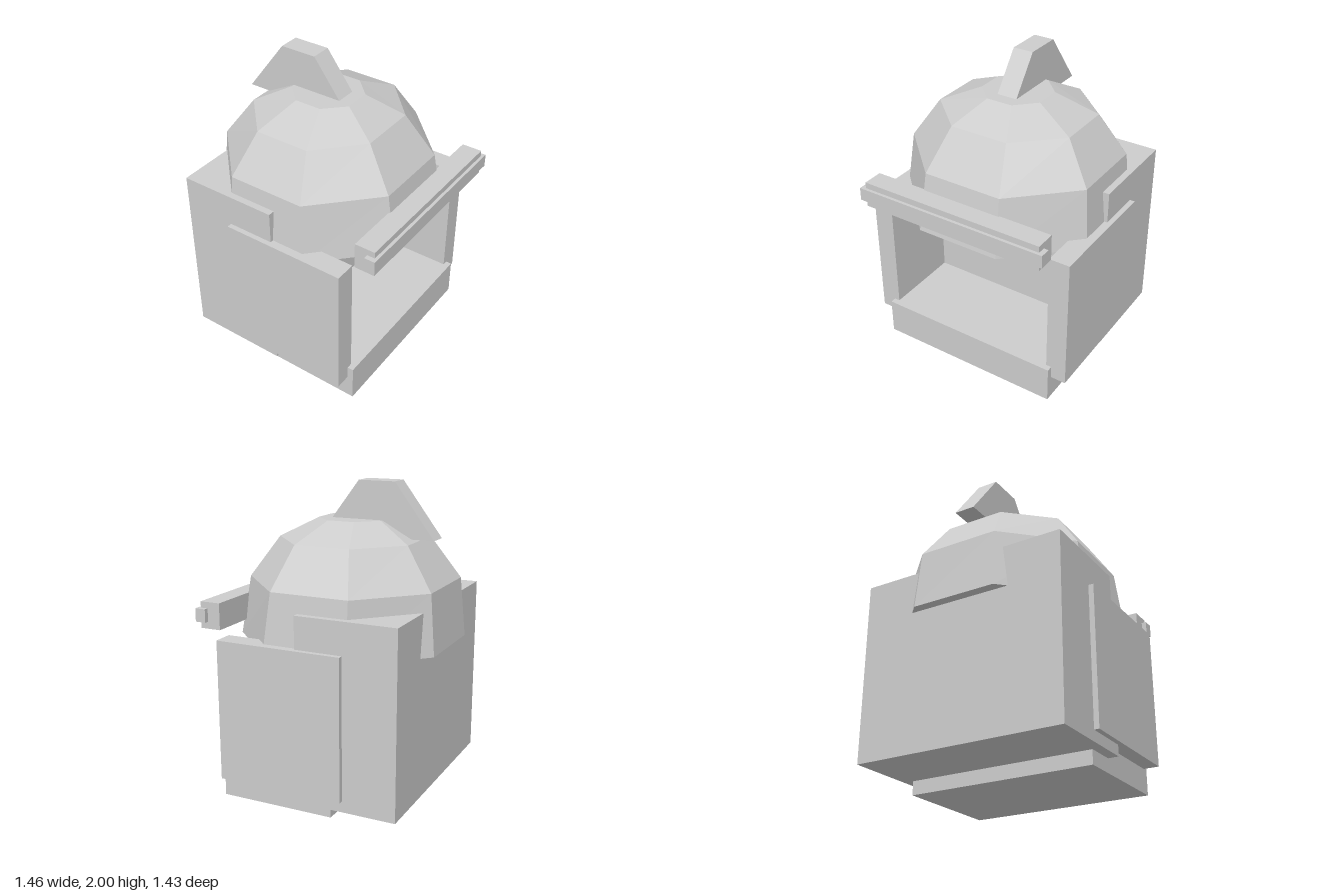
import * as THREE from 'three';

const grey = new THREE.MeshStandardMaterial({ color: 0xcccccc });
grey.name = 'plain grey';

function addMesh(group, name, geometry) {
  const mesh = new THREE.Mesh(geometry, grey);
  mesh.name = name;
  group.add(mesh);
  return mesh;
}

// Box given by its lower and upper bounds on each axis
function addBox(group, name, [x0, x1], [y0, y1], [z0, z1]) {
  const mesh = addMesh(group, name, new THREE.BoxGeometry(x1 - x0, y1 - y0, z1 - z0));
  mesh.position.set((x0 + x1) / 2, (y0 + y1) / 2, (z0 + z1) / 2);
}

// Eight-sided faceted dome lofted through stacked rings, capped at both ends
function domeGeometry() {
  // height, half width, half depth, centre z
  const rings = [
    [1.0, 0.68, 0.667, -0.05],
    [1.38, 0.64, 0.617, -0.067],
    [1.64, 0.47, 0.435, -0.067],
    [1.76, 0.21, 0.212, -0.067],
  ];
  const sides = 8;
  const positions = [];
  const point = ([y, w, d, cz], i) => {
    const a = ((i + 0.5) / sides) * Math.PI * 2;
    const k = 1 / Math.cos(Math.PI / sides);
    return [Math.sin(a) * w * k, y, cz + Math.cos(a) * d * k];
  };
  const triangle = (...corners) => corners.forEach((c) => positions.push(...c));
  const bottom = rings[0];
  const top = rings[rings.length - 1];
  for (let i = 0; i < sides; i++) {
    for (let r = 0; r < rings.length - 1; r++) {
      const a = point(rings[r], i), b = point(rings[r], i + 1);
      const c = point(rings[r + 1], i + 1), d = point(rings[r + 1], i);
      triangle(a, b, c);
      triangle(a, c, d);
    }
    triangle([0, top[0], top[3]], point(top, i), point(top, i + 1));
    triangle([0, bottom[0], bottom[3]], point(bottom, i + 1), point(bottom, i));
  }
  const geometry = new THREE.BufferGeometry();
  geometry.setAttribute('position', new THREE.Float32BufferAttribute(positions, 3));
  geometry.computeVertexNormals();
  return geometry;
}

// Trapezoid fin, its side profile drawn in (z, y) and extruded across x
function crestGeometry() {
  const width = 0.136;
  const profile = [[-0.62, 1.655], [0.14, 1.655], [-0.12, 2.0], [-0.36, 2.0]];
  const shape = new THREE.Shape(profile.map(([z, y]) => new THREE.Vector2(-z, y)));
  const geometry = new THREE.ExtrudeGeometry(shape, { depth: width, bevelEnabled: false });
  geometry.translate(0, 0, -width / 2);
  geometry.rotateY(Math.PI / 2);
  return geometry;
}

export function createModel() {
  const model = new THREE.Group();
  model.name = 'helmet';

  // Shell
  addMesh(model, 'dome', domeGeometry());
  addMesh(model, 'crest', crestGeometry());
  addBox(model, 'backBlock', [-0.695, 0.695], [0.09, 1.27], [-0.655, 0]);
  addBox(model, 'chinGuard', [-0.627, 0.627], [0, 0.245], [-0.2, 0.56]);

  // Cheek plates
  addBox(model, 'leftCheekPlate', [0.59, 0.728], [0.16, 1.065], [-0.31, 0.52]);
  addBox(model, 'rightCheekPlate', [-0.728, -0.59], [0.16, 1.065], [-0.31, 0.52]);

  // Brow bar with its narrow front rail
  addBox(model, 'browBar', [-0.627, 0.627], [1.1, 1.27], [0.56, 0.695]);
  addBox(model, 'browRail', [-0.658, 0.658], [1.145, 1.23], [0.645, 0.715]);

  return model;
}
